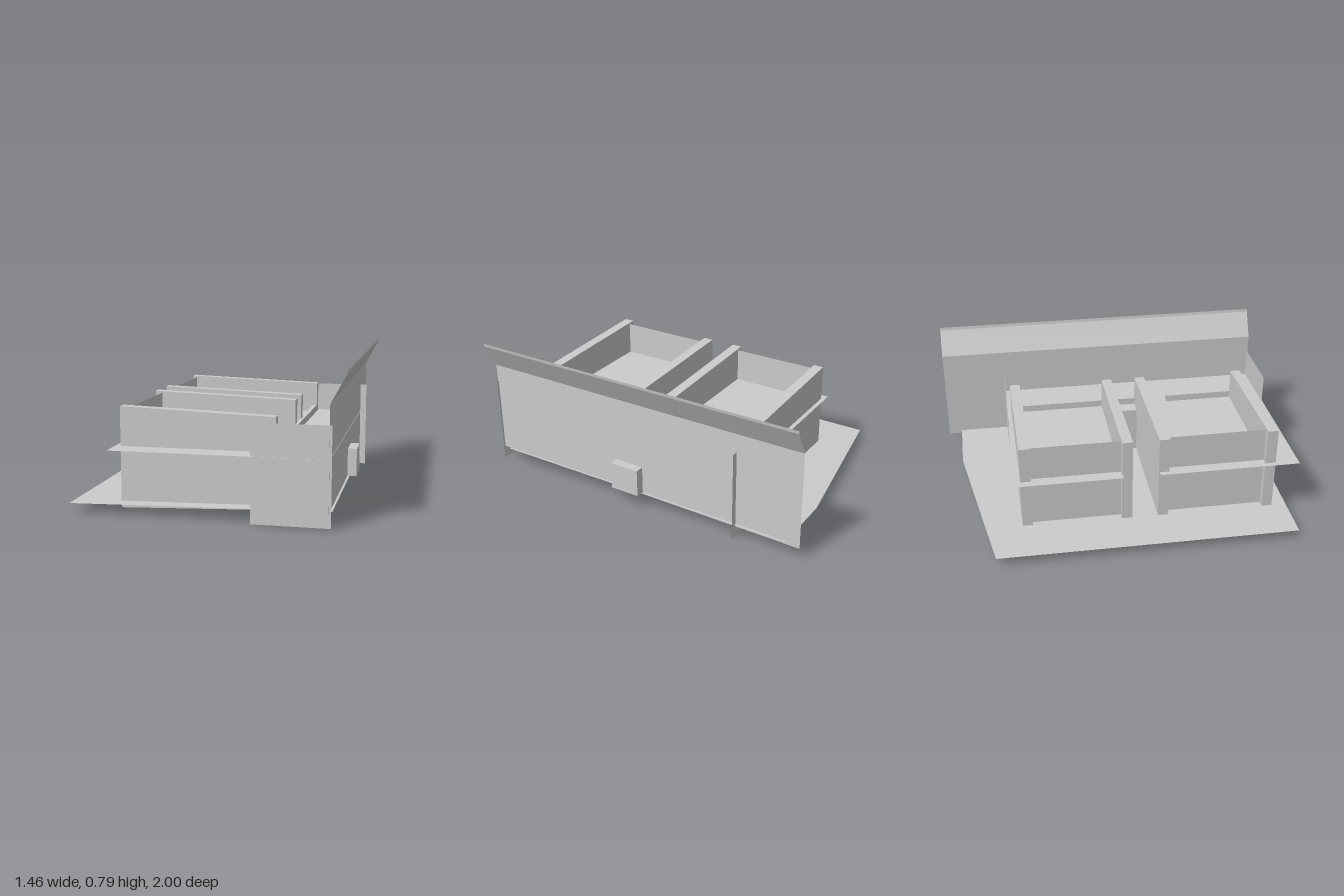
import * as THREE from 'three';

const material = new THREE.MeshStandardMaterial({ color: 0xcccccc, flatShading: true, side: THREE.DoubleSide });

function outline(points) {
  return new THREE.Shape(points.map(([a, b]) => new THREE.Vector2(a, b)));
}

export function createModel() {
  const model = new THREE.Group();

  function add(name, geometry) {
    const mesh = new THREE.Mesh(geometry, material);
    mesh.name = name;
    model.add(mesh);
    return mesh;
  }
  // Box given by its limits on each axis
  function box(name, [x0, x1], [y0, y1], [z0, z1]) {
    add(name, new THREE.BoxGeometry(x1 - x0, y1 - y0, z1 - z0))
      .position.set((x0 + x1) / 2, (y0 + y1) / 2, (z0 + z1) / 2);
  }
  // Thin horizontal sheet from an x-z outline, with its height as a function of x
  function sheet(name, points, height) {
    const geometry = new THREE.ShapeGeometry(outline(points)).rotateX(Math.PI / 2);
    const p = geometry.attributes.position;
    for (let i = 0; i < p.count; i++) p.setY(i, height(p.getX(i)));
    geometry.computeVertexNormals();
    add(name, geometry);
  }
  // Thin upright panel facing the front
  function panel(name, x0, x1, y0, y1, z) {
    add(name, new THREE.PlaneGeometry(x1 - x0, y1 - y0)).position.set((x0 + x1) / 2, (y0 + y1) / 2, z);
  }

  // Gently tilted ground sheet
  sheet('groundFloor', [[-0.73, -0.76], [0.27, -0.92], [0.655, -0.92], [0.655, 0.95], [-0.73, 0.95]],
    (x) => 0.05 + (x + 0.73) * 0.022);

  // Upper floor, notched between the two middle walls
  sheet('upperFloor', [[-0.5, -0.62], [0.645, -0.62], [0.645, 1], [-0.5, 1], [-0.5, 0.19],
    [0.26, 0.19], [0.26, -0.02], [-0.5, -0.02]], () => 0.35);

  // Cross walls, taller at the far end
  for (const [z, x0, x1] of [[-0.595, -0.455, 0.37], [-0.025, -0.47, 0.355], [0.185, -0.47, 0.355], [0.805, -0.47, 0.355]]) {
    const shape = outline([[x0, 0.02], [x1, 0.05], [x1, 0.53], [x0, 0.56]]);
    const wall = add('crossWall', new THREE.ExtrudeGeometry(shape, { depth: 0.06, bevelEnabled: false }));
    wall.position.z = z;
  }

  // Recessed end walls closing the two bays, and the notch between them
  for (const [name, x, y0, y1, z0, z1] of [
    ['endWall', -0.43, 0.02, 0.55, -0.54, -0.02],
    ['endWall', -0.43, 0.02, 0.55, 0.24, 0.81],
    ['notchWall', 0.26, 0.045, 0.35, 0.03, 0.19],
  ]) {
    add(name, new THREE.PlaneGeometry(z1 - z0, y1 - y0).rotateY(-Math.PI / 2))
      .position.set(x, (y0 + y1) / 2, (z0 + z1) / 2);
  }

  // Low walls along the inner side, with a doorway between them
  for (const span of [[-0.54, 0.25], [0.39, 0.95]]) box('lowWall', [0.345, 0.37], [0.06, 0.39], span);

  // Side panels at both ends of the facade
  panel('frontSidePanel', 0.25, 0.655, 0.005, 0.52, 0.995);
  panel('backSidePanel', 0.34, 0.68, 0, 0.52, -0.62);

  // Tall facade with an outward-leaning top and a small lip
  const profile = [[0.643, 0.07], [0.643, 0.625], [0.722, 0.77], [0.725, 0.788]];
  const facade = new THREE.BufferGeometry();
  const vertices = [];
  for (let i = 0; i < profile.length - 1; i++) {
    const [[ax, ay], [bx, by]] = [profile[i], profile[i + 1]];
    const drop = i === 0 ? 0.01 : 0;
    vertices.push(ax, ay + drop, 1, ax, ay - drop, -1, bx, by, -1);
    vertices.push(ax, ay + drop, 1, bx, by, -1, bx, by, 1);
  }
  facade.setAttribute('position', new THREE.Float32BufferAttribute(vertices, 3));
  facade.computeVertexNormals();
  add('facade', facade);

  // Small box mounted on the facade
  box('facadeBox', [0.645, 0.697], [0.085, 0.245], [-0.025, 0.15]);

  return model;
}
